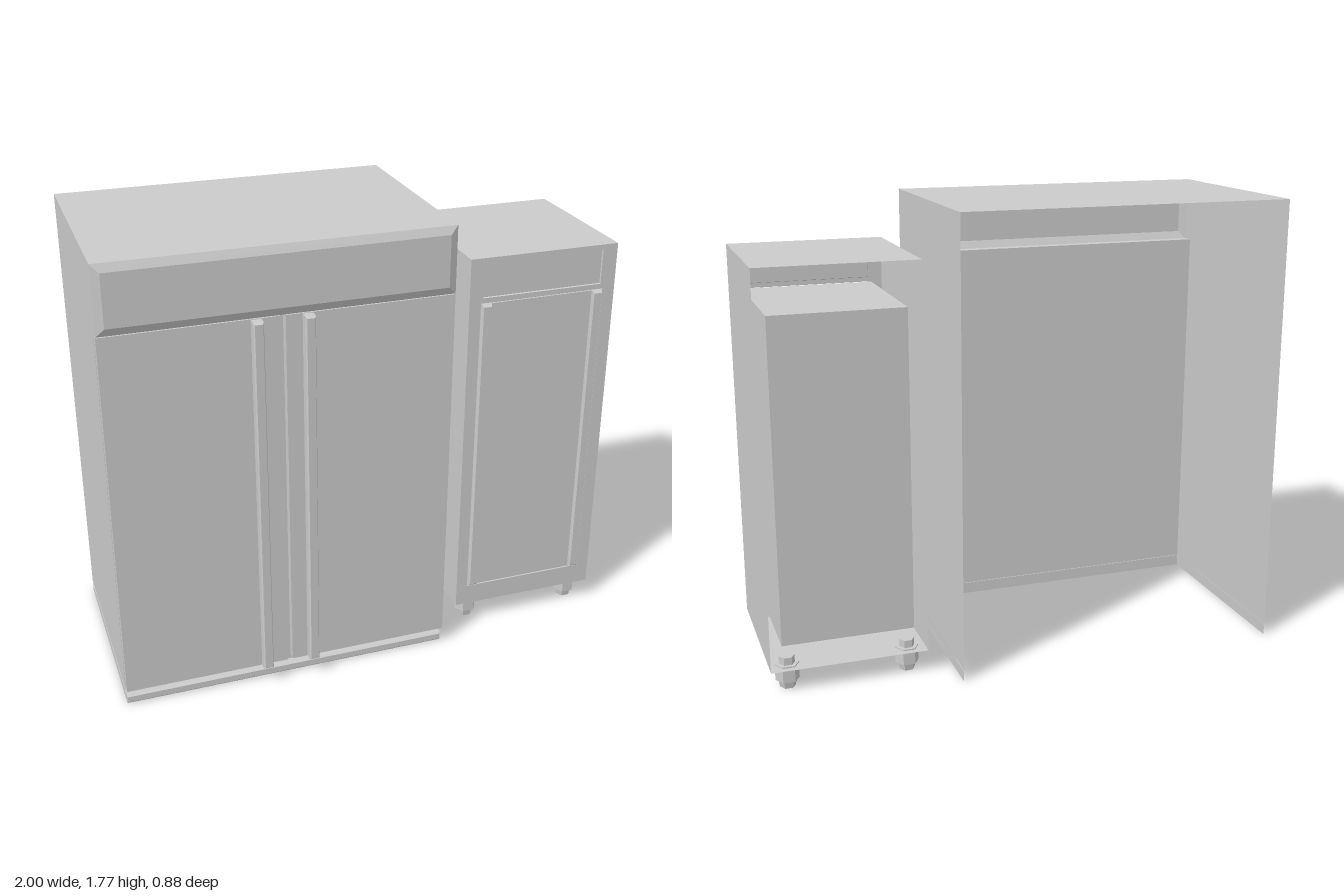
import * as THREE from 'three';

const mat = new THREE.MeshStandardMaterial({ color: 0xcccccc, flatShading: true, side: THREE.DoubleSide });

function add(group, name, geometry) {
  const mesh = new THREE.Mesh(geometry, mat);
  mesh.name = name;
  group.add(mesh);
  return mesh;
}

// Box given by its limits on each axis
function box(group, name, [x0, x1], [y0, y1], [z0, z1]) {
  const mesh = add(group, name, new THREE.BoxGeometry(x1 - x0, y1 - y0, z1 - z0));
  mesh.position.set((x0 + x1) / 2, (y0 + y1) / 2, (z0 + z1) / 2);
  return mesh;
}

// Four-cornered sheet, corners counter-clockwise seen from outside
function sheet(group, name, a, b, c, d) {
  const g = new THREE.BufferGeometry();
  g.setAttribute('position', new THREE.Float32BufferAttribute([a, b, c, a, c, d].flat(), 3));
  g.computeVertexNormals();
  return add(group, name, g);
}

const rect = (C, x0, x1, y0, y1) =>
  new C([[x0, y0], [x1, y0], [x1, y1], [x0, y1]].map(p => new THREE.Vector2(...p)));

// Raised face whose edges slope from an outer rectangle to an inner one
function bevelFace(group, name, [x0, x1], [y0, y1], z0, z1, inX, inY) {
  const ring = (z, ix, iy) => [[x0 + ix, y0 + iy, z], [x1 - ix, y0 + iy, z], [x1 - ix, y1 - iy, z], [x0 + ix, y1 - iy, z]];
  const outer = ring(z0, 0, 0), inner = ring(z1, inX, inY);
  sheet(group, name, ...inner);
  for (let i = 0; i < 4; i++) {
    const j = (i + 1) % 4;
    sheet(group, name + 'Bevel', outer[i], outer[j], inner[j], inner[i]);
  }
}

// Three walls (right, front, left) around an open back
function openWalls(group, name, [x0, x1], [y0, y1], [z0, z1]) {
  sheet(group, name + 'Right', [x0, y0, z0], [x0, y0, z1], [x0, y1, z1], [x0, y1, z0]);
  sheet(group, name + 'Front', [x0, y0, z1], [x1, y0, z1], [x1, y1, z1], [x0, y1, z1]);
  sheet(group, name + 'Left', [x1, y0, z1], [x1, y0, z0], [x1, y1, z0], [x1, y1, z1]);
}

function wideCabinet() {
  const g = new THREE.Group();
  g.name = 'wideCabinet';
  const X = [-1, 0.29], back = -0.44, front = 0.357;

  // Open-backed body and the deeper header above the doors
  openWalls(g, 'bodyWall', X, [0.05, 1.52], [back, front]);
  const side = [X[0], X[1]];
  side.forEach((x, i) => sheet(g, i ? 'headerLeft' : 'headerRight',
    ...(i ? [[x, 1.52, 0.4], [x, 1.52, back], [x, 1.775, back], [x, 1.775, 0.4]]
      : [[x, 1.52, back], [x, 1.52, 0.4], [x, 1.775, 0.4], [x, 1.775, back]])));
  sheet(g, 'top', [X[0], 1.775, 0.4], [X[1], 1.775, 0.4], [X[1], 1.775, back], [X[0], 1.775, back]);
  sheet(g, 'headerUnderside', [X[0], 1.52, front], [X[1], 1.52, front], [X[1], 1.52, 0.4], [X[0], 1.52, 0.4]);
  bevelFace(g, 'headerFace', X, [1.52, 1.775], 0.4, 0.414, 0.03, 0.03);

  // Doors with a narrow gap between them, and their tall handles
  [[X[0], -0.365], [-0.345, X[1]]].forEach(x => box(g, 'door', x, [0.07, 1.517], [0.366, 0.4]));
  [[-0.47, -0.432], [-0.284, -0.246]].forEach(x => {
    box(g, 'doorHandle', x, [0.072, 1.515], [0.4, 0.432]);
    bevelFace(g, 'doorHandleFace', x, [0.072, 1.515], 0.432, 0.44, 0.004, 0.006);
  });

  // Plinth below a shallow groove
  openWalls(g, 'grooveWall', [X[0] + 0.006, X[1] - 0.006], [0.04, 0.05], [back, front - 0.006]);
  openWalls(g, 'plinthWall', X, [0, 0.04], [back, front]);
  box(g, 'plinthFront', X, [0, 0.04], [front, 0.376]);
  bevelFace(g, 'plinthFace', X, [0, 0.04], 0.376, 0.384, 0.003, 0.008);
  return g;
}

function narrowCabinet() {
  const g = new THREE.Group();
  g.name = 'narrowCabinet';
  const X = [0.395, 1], Y = [0.09, 1.6], Z = [-0.32, 0.295];
  const door = [0.44, 0.95], doorY = [0.175, 1.425], panel = [0.45, 0.94], panelY = [1.443, 1.583];

  // Open-backed body
  X.forEach((x, i) => sheet(g, i ? 'leftWall' : 'rightWall',
    ...(i ? [[x, Y[0], Z[1]], [x, Y[0], Z[0]], [x, Y[1], Z[0]], [x, Y[1], Z[1]]]
      : [[x, Y[0], Z[0]], [x, Y[0], Z[1]], [x, Y[1], Z[1]], [x, Y[1], Z[0]]])));
  sheet(g, 'top', [X[0], Y[1], Z[1]], [X[1], Y[1], Z[1]], [X[1], Y[1], Z[0]], [X[0], Y[1], Z[0]]);
  sheet(g, 'floor', [X[0], Y[0], Z[0]], [X[1], Y[0], Z[0]], [X[1], Y[0], Z[1]], [X[0], Y[0], Z[1]]);

  // Front frame with openings for the door and the control panel
  const frame = rect(THREE.Shape, ...X, ...Y);
  frame.holes.push(rect(THREE.Path, ...door, ...doorY), rect(THREE.Path, ...panel, ...panelY));
  add(g, 'frontFrame', new THREE.ShapeGeometry(frame)).position.z = Z[1];
  bevelFace(g, 'controlPanel', panel, panelY, Z[1], Z[1] - 0.006, 0.002, 0.002);

  // Deep inner compartment closed by the door
  box(g, 'innerCompartment', door, doorY, [-0.28, 0.288]);
  box(g, 'doorPanel', [0.445, 0.945], [0.18, 1.42], [0.288, 0.295]);

  // Edge grips with sloped sides
  [[0.443, 0.486], [0.904, 0.947]].forEach(x =>
    bevelFace(g, 'doorGrip', x, [0.177, 1.423], 0.295, 0.309, 0.006, 0.012));

  // Hexagonal feet with a stem rising through the floor
  for (const x of [0.465, 0.93]) for (const z of [0.228, -0.256]) {
    const foot = new THREE.Group();
    foot.name = 'foot';
    foot.position.set(x, 0, z);
    foot.rotation.y = Math.PI / 2;
    [['footCollar', 0.046, 0.046, 0.03, 0.095], ['footPad', 0.036, 0.03, 0, 0.03], ['footStem', 0.03, 0.03, 0.095, 0.125]]
      .forEach(([name, rt, rb, y0, y1]) => {
        add(foot, name, new THREE.CylinderGeometry(rt, rb, y1 - y0, 6)).position.y = (y0 + y1) / 2;
      });
    g.add(foot);
  }
  return g;
}

export function createModel() {
  const model = new THREE.Group();
  model.name = 'cabinets';
  model.add(wideCabinet(), narrowCabinet());
  return model;
}
